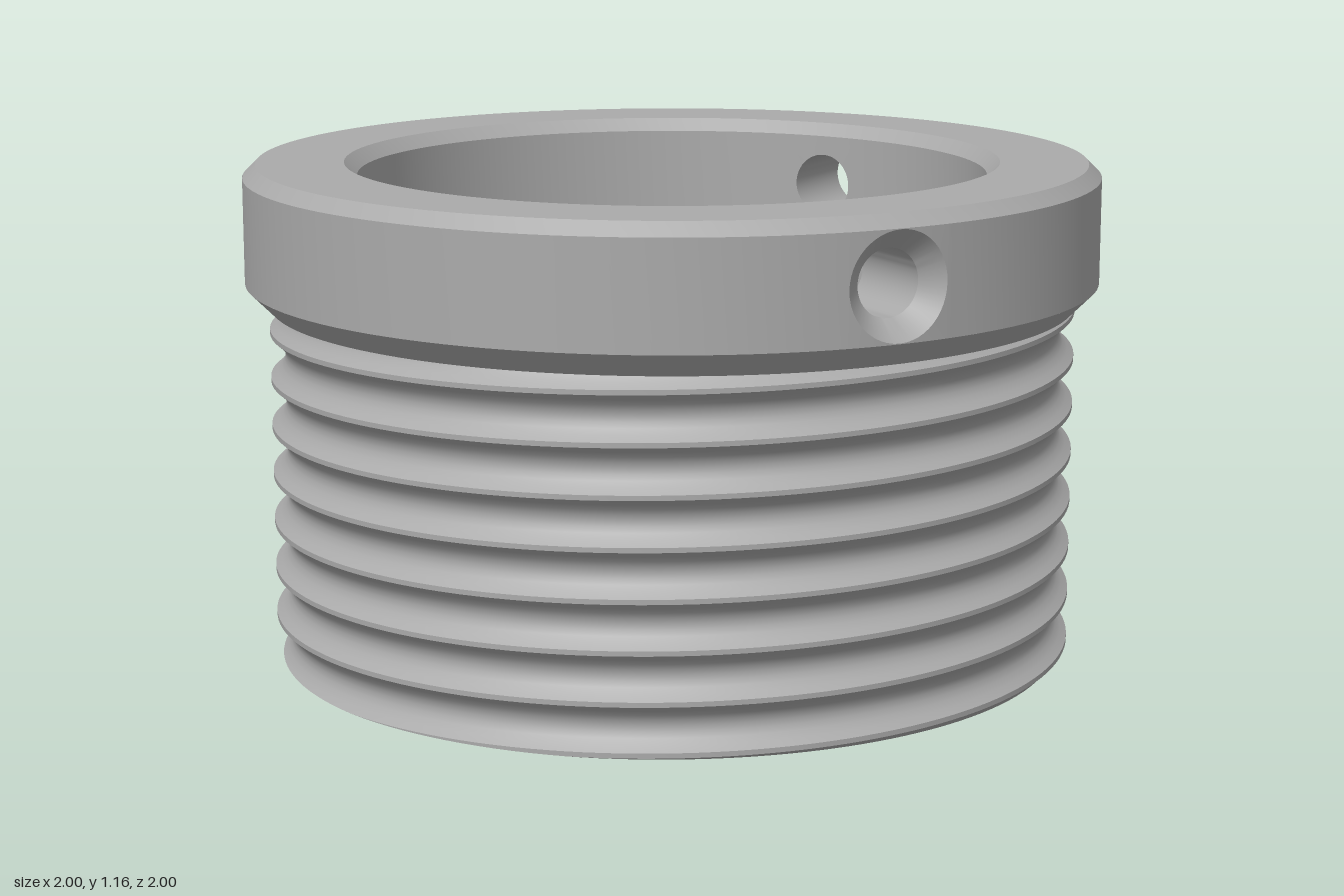
import * as THREE from 'three';
import { toCreasedNormals } from 'three/addons/utils/BufferGeometryUtils.js';

const TAU = Math.PI * 2;
const PITCH = 0.113, BODY_TOP = 0.835, STEP_Y = 0.85;
const RIM_LOW = 0.89, RIM_HIGH = 1.135, TOP = 1.165;
const HOLE_Y = (RIM_LOW + RIM_HIGH) / 2, HALF = (RIM_HIGH - RIM_LOW) / 2;
const BORE = 0.735;
const polar = (r, a, y) => [r * Math.sin(a), y, r * Math.cos(a)];

// Surface through a grid of points; columns run anticlockwise, rows run up
function patch(cols, rows, fn) {
  const pts = [];
  for (const c of cols) for (const r of rows) pts.push(new THREE.Vector3(...fn(c, r)));
  const pos = [], n = rows.length, t = new THREE.Triangle();
  const tri = (a, b, c) => {
    t.set(pts[a], pts[b], pts[c]);
    if (t.getArea() > 1e-9) for (const p of [t.a, t.b, t.c]) pos.push(p.x, p.y, p.z);
  };
  for (let i = 0; i < cols.length - 1; i++) {
    for (let j = 0; j < n - 1; j++) {
      const a = i * n + j, b = a + n;
      tri(a, b, a + 1);
      tri(b, b + 1, a + 1);
    }
  }
  const g = new THREE.BufferGeometry();
  g.setAttribute('position', new THREE.Float32BufferAttribute(pos, 3));
  return toCreasedNormals(g, 0.6);
}

const range = (n, from, to) => Array.from({ length: n + 1 }, (_, i) => from + (to - from) * i / n);

function revolve(points, segments = 120, start = 0, length = TAU) {
  const profile = points.map(p => new THREE.Vector2(...p));
  return toCreasedNormals(new THREE.LatheGeometry(profile, segments, start, length), 0.5);
}

// Thread radius: rounded valleys between narrow crests
function threadRadius(a, y) {
  let u = (y - 0.113) / PITCH - a / TAU;
  u -= Math.floor(u);
  return 0.91 + 0.035 * Math.min(1, ((u - 0.5) / 0.45) ** 2);
}

function threadGeometry() {
  const turns = [];
  for (let k = -3; k <= 8; k++) for (const w of [-0.05, ...range(8, 0.05, 0.95).slice(0, 8)]) turns.push(k + w);
  return patch(range(144, 0, TAU), ['base', ...turns, 'neck'], (a, t) => {
    if (t === 'base') return polar(0.845, a, 0);
    if (t === 'neck') return polar(0.945, a, BODY_TOP);
    const y = THREE.MathUtils.clamp(0.113 + PITCH * (a / TAU + t), 0, BODY_TOP);
    return polar(threadRadius(a, y), a, y);
  });
}

// Lower bore with a chamfered mouth and three lengthwise grooves
function boreGeometry() {
  const cols = [], half = 0.05;
  for (let i = 0; i < 3; i++) {
    const a = Math.PI / 2 + i * TAU / 3;
    cols.push([a - half, false], ...range(2, a - half, a + half).map(v => [v, true]));
    cols.push(...range(36, a + half, a + TAU / 3 - half).map(v => [v, false]));
  }
  cols.push([Math.PI / 2 - half + TAU, false]);
  const rows = [[0.81, STEP_Y], [0.81, 0.035], [0.845, 0]];
  return patch(cols, rows, ([a, groove], [r, y]) => polar(groove ? 0.845 : r, a, y));
}

// Square piece of the collar, pierced by a countersunk radial hole
function holeGeometry() {
  const rows = [
    { R: 1, rho: 0.121, k: 1 }, { R: 1, rho: 0.121, k: 0.5 }, { R: 1, rho: 0.121, k: 0 },
    { flat: 0.95, rho: 0.075, k: 0 },
    { R: BORE, rho: 0.075, k: 0 }, { R: BORE, rho: 0.075, k: 0.5 }, { R: BORE, rho: 0.075, k: 1 },
  ];
  return patch(range(48, 0, TAU), rows, (t, { R, flat, rho, k }) => {
    const c = Math.cos(t), s = Math.sin(t);
    const size = THREE.MathUtils.lerp(rho, HALF / Math.max(Math.abs(c), Math.abs(s)), k);
    const x = c * size;
    return [x, HOLE_Y + s * size, flat ?? Math.sqrt(R * R - x * x)];
  });
}

export function createModel() {
  const group = new THREE.Group();
  const metal = new THREE.MeshStandardMaterial({ color: 0xaaaaaa, side: THREE.DoubleSide });
  metal.name = 'grey metal';
  const add = (name, geometry, turn = 0) => {
    const mesh = new THREE.Mesh(geometry, metal);
    mesh.name = name;
    mesh.rotation.y = turn;
    group.add(mesh);
  };

  // Threaded sleeve
  add('threadedBody', threadGeometry());
  add('groovedBore', boreGeometry());

  // Collar edges that run all the way round
  add('collarUnderside', revolve([[0.945, BODY_TOP], [1, RIM_LOW]]));
  add('collarTop', revolve([[1, RIM_HIGH], [0.97, TOP], [0.765, TOP], [BORE, RIM_HIGH]]));
  add('boreStep', revolve([[BORE, RIM_LOW], [BORE, STEP_Y], [0.845, STEP_Y]]));

  // Collar walls in three sectors, each with one countersunk hole
  const hole = holeGeometry();
  const wall = (r, low, high) => {
    const edge = Math.asin(HALF / r);
    return revolve([[r, low], [r, high]], 36, edge, TAU / 3 - 2 * edge);
  };
  const outer = wall(1, RIM_LOW, RIM_HIGH);
  const inner = wall(BORE, RIM_HIGH, RIM_LOW);
  for (let i = 0; i < 3; i++) {
    const turn = Math.PI / 3 + i * TAU / 3;
    add('screwHole', hole, turn);
    add('collarOuterWall', outer, turn);
    add('collarInnerWall', inner, turn);
  }
  return group;
}
